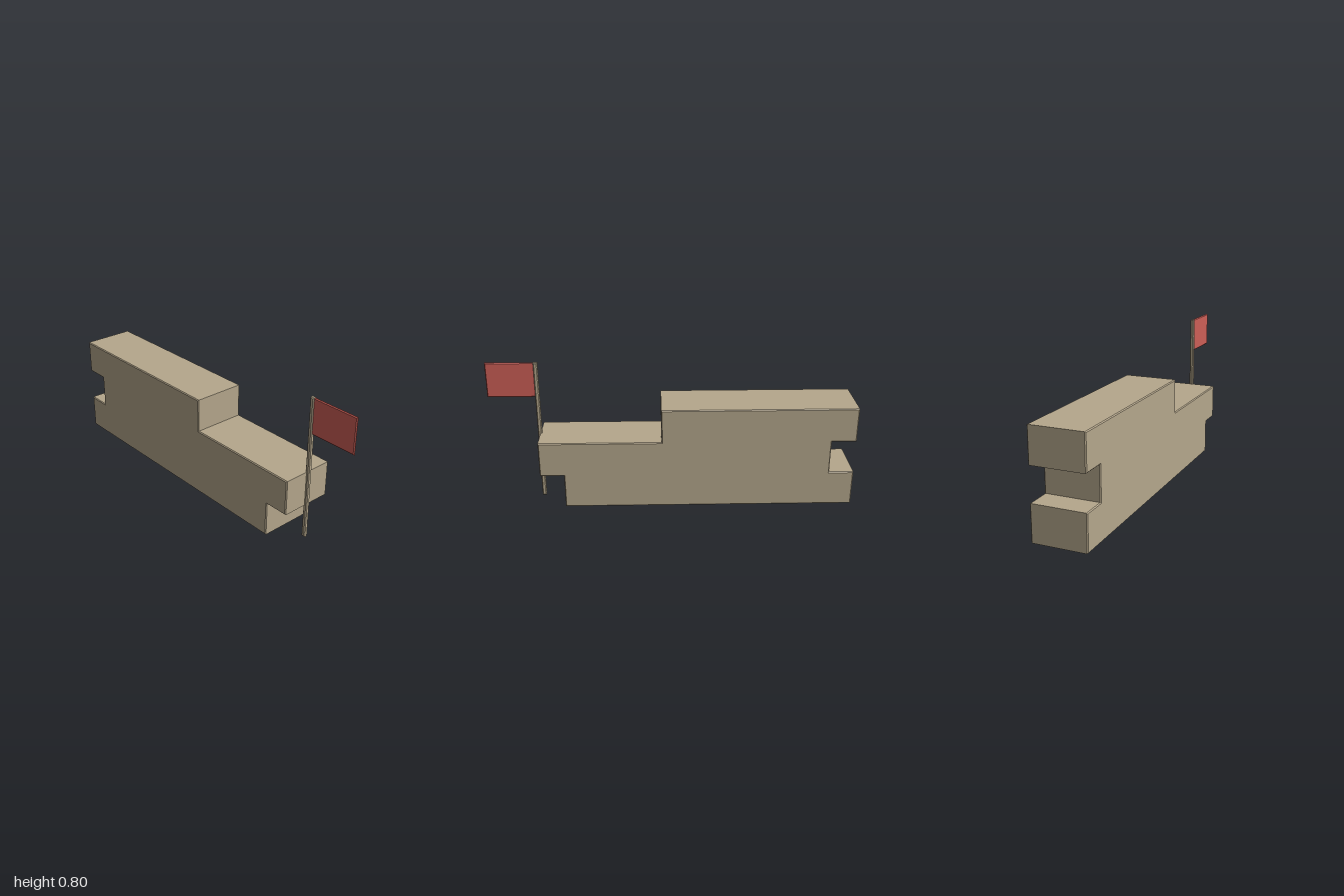
import * as THREE from 'three';

const BEVEL = 0.005;

// Plate cut from an outline in the xy plane, centred on z = 0, with a small chamfer
function plate(name, outline, thickness, material) {
  const shape = new THREE.Shape(outline.map(([x, y]) => new THREE.Vector2(x, y)));
  const depth = thickness - 2 * BEVEL;
  const geometry = new THREE.ExtrudeGeometry(shape, {
    depth,
    bevelEnabled: true,
    bevelThickness: BEVEL,
    bevelSize: BEVEL,
    bevelOffset: -BEVEL,
    bevelSegments: 1,
  });
  geometry.translate(0, 0, -depth / 2);
  const mesh = new THREE.Mesh(geometry, material);
  mesh.name = name;
  return mesh;
}

const rectangle = (x0, y0, x1, y1) => [[x0, y0], [x1, y0], [x1, y1], [x0, y1]];

export function createModel() {
  const stone = new THREE.MeshStandardMaterial({ color: 0xb5a78c });
  stone.name = 'sand';
  const red = new THREE.MeshStandardMaterial({ color: 0xcd5f57 });
  red.name = 'flag red';

  // Stepped block: notch at the right end, overhang at the left end
  const bodyOutline = [
    [-1, 0], [0.595, 0], [0.595, 0.192], [0.727, 0.192], [0.727, 0.388],
    [0.06, 0.388], [0.06, 0.575], [-1, 0.575], [-1, 0.382],
    [-0.865, 0.382], [-0.865, 0.198], [-1, 0.198],
  ];

  const model = new THREE.Group();
  model.name = 'steppedBlockWithFlag';
  model.add(
    plate('body', bodyOutline, 0.297, stone),
    plate('flagPole', rectangle(0.718, 0, 0.741, 0.8), 0.023, stone),
    plate('flag', rectangle(0.735, 0.603, 1, 0.8), 0.012, red),
  );
  return model;
}
